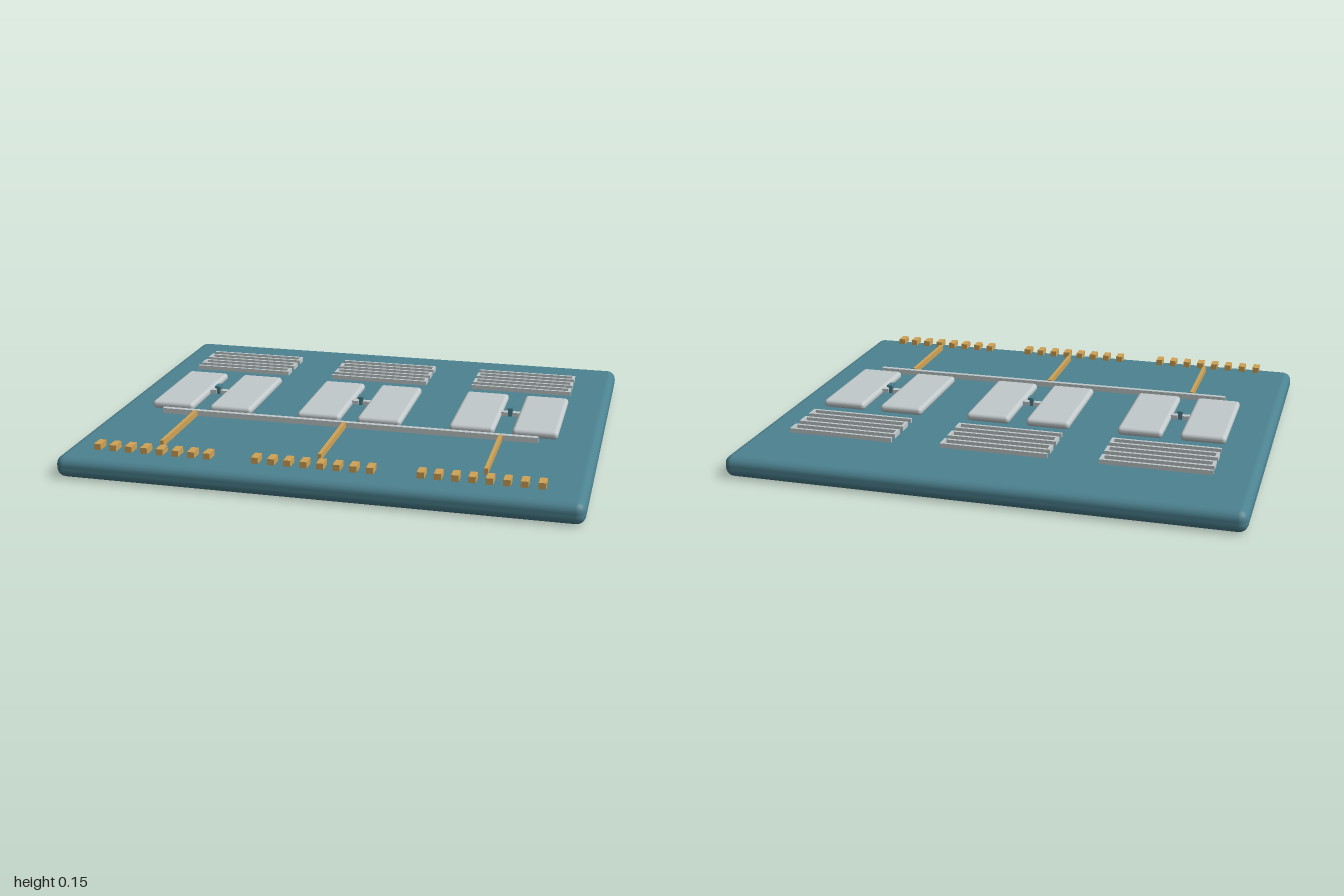
import * as THREE from 'three';
import { RoundedBoxGeometry } from 'three/addons/geometries/RoundedBoxGeometry.js';

const paint = (name, color) => {
  const m = new THREE.MeshStandardMaterial({ color });
  m.name = name;
  return m;
};

export function createModel() {
  const teal = paint('teal', 0x4c8290);
  const silver = paint('silver', 0xc2cacc);
  const gold = paint('gold', 0xd0a356);
  const model = new THREE.Group();
  model.name = 'circuitChip';

  const add = (parent, name, geometry, material, x, y, z) => {
    const mesh = new THREE.Mesh(geometry, material);
    mesh.name = name;
    mesh.position.set(x, y, z);
    parent.add(mesh);
    return mesh;
  };
  const box = (parent, name, material, [w, h, d], [x, y, z]) =>
    add(parent, name, new THREE.BoxGeometry(w, h, d), material, x, y, z);

  // Rounded substrate slab
  add(model, 'substrate', new RoundedBoxGeometry(2, 0.086, 1.646, 3, 0.036), teal, 0, 0.043, 0);

  // Shared bus bar in front of the plates
  box(model, 'busBar', silver, [1.54, 0.022, 0.02], [0, 0.113, 0.275]);

  const plateGeometry = new RoundedBoxGeometry(0.18, 0.033, 0.448, 3, 0.015);

  for (const cx of [-0.625, 0, 0.625]) {
    const cell = new THREE.Group();
    cell.name = 'cell';
    cell.position.x = cx;
    model.add(cell);

    // Pair of plates with a bridge and a small junction between them
    for (const side of [-1, 1]) {
      add(cell, 'plate', plateGeometry, silver, side * 0.125, 0.1135, 0);
      box(cell, 'bridge', silver, [0.034, 0.016, 0.024], [side * 0.026, 0.117, 0]);
    }
    box(cell, 'junctionStem', teal, [0.018, 0.032, 0.014], [0, 0.123, 0]);
    box(cell, 'junctionCap', teal, [0.022, 0.008, 0.04], [0, 0.142, 0]);

    // Meandering trace: six rows joined at alternating ends
    const meander = new THREE.Group();
    meander.name = 'meanderTrace';
    cell.add(meander);
    const firstZ = -0.553, pitch = 0.045;
    for (let i = 0; i < 6; i++) {
      const z = firstZ + i * pitch;
      box(meander, 'meanderRow', silver, [0.425, 0.018, 0.012], [0, 0.115, z]);
      if (i < 5) {
        const x = (i % 2 ? -1 : 1) * 0.2065;
        box(meander, 'meanderLink', silver, [0.012, 0.018, pitch - 0.012], [x, 0.115, z + pitch / 2]);
      }
    }

    // Gold lead from the bus and its row of contact pads
    box(cell, 'lead', gold, [0.014, 0.024, 0.372], [0, 0.115, 0.474]);
    for (let i = 0; i < 8; i++) {
      box(cell, 'contactPad', gold, [0.027, 0.024, 0.054], [-0.005 + (i - 3.5) * 0.0625, 0.115, 0.727]);
    }
  }
  return model;
}
